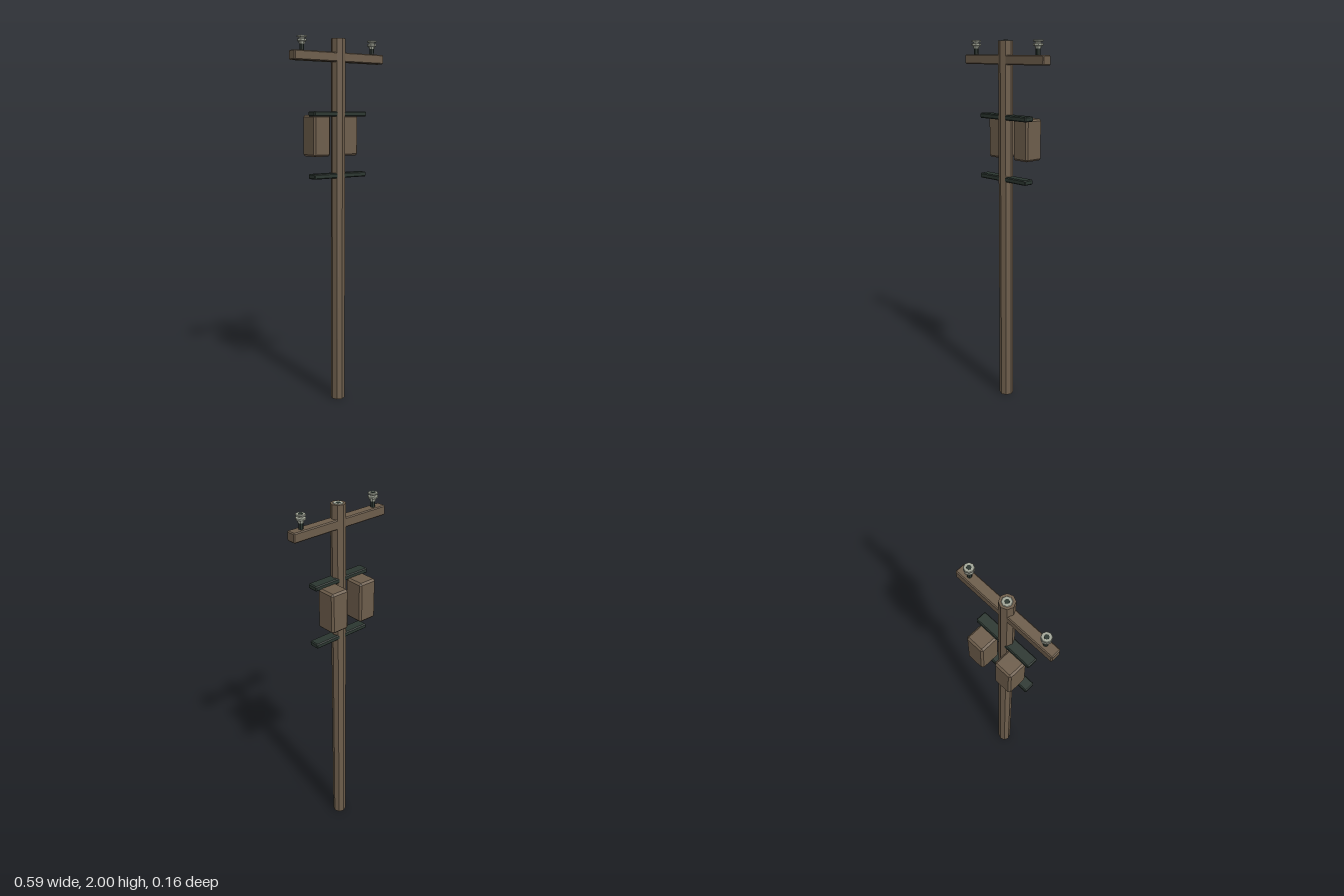
import * as THREE from 'three';
import { ConvexGeometry } from 'three/addons/geometries/ConvexGeometry.js';

const AXIS_Z = 0.042; // pole axis

// one hard normal per face
function faceted(geometry) {
  const g = geometry.toNonIndexed();
  g.computeVertexNormals();
  return g;
}

// box with every edge chamfered by c
function chamferBox(w, h, d, c) {
  const pts = [];
  for (const x of [-1, 1]) for (const y of [-1, 1]) for (const z of [-1, 1]) {
    const [a, b, e] = [w / 2, h / 2, d / 2];
    pts.push(
      new THREE.Vector3(x * a, y * (b - c), z * (e - c)),
      new THREE.Vector3(x * (a - c), y * b, z * (e - c)),
      new THREE.Vector3(x * (a - c), y * (b - c), z * e));
  }
  return new ConvexGeometry(pts);
}

export function createModel() {
  const wood = new THREE.MeshStandardMaterial({ color: 0x6d5d4b });
  wood.name = 'weathered wood';
  const iron = new THREE.MeshStandardMaterial({ color: 0x2b3630 });
  iron.name = 'dark iron';
  const porcelain = new THREE.MeshStandardMaterial({ color: 0xa3a799 });
  porcelain.name = 'grey porcelain';

  const model = new THREE.Group();
  model.name = 'utilityPole';
  function add(name, geometry, material, x, y, z, parent = model) {
    const mesh = new THREE.Mesh(geometry, material);
    mesh.name = name;
    mesh.position.set(x, y, z);
    parent.add(mesh);
    return mesh;
  }

  // octagonal pole
  add('pole', faceted(new THREE.CylinderGeometry(0.039, 0.039, 1.997, 8)), wood, 0, 0.9985, AXIS_Z);

  // top crossarm
  add('crossarm', chamferBox(0.588, 0.05, 0.055, 0.005), wood, 0, 1.9, 0.041);

  // iron brackets above and below the boxes
  const bar = chamferBox(0.348, 0.027, 0.06, 0.005);
  add('upperBracket', bar, iron, 0, 1.604, 0.041);
  add('lowerBracket', bar, iron, 0, 1.274, 0.041);

  // transformer boxes on the back
  const box = chamferBox(0.107, 0.221, 0.115, 0.01);
  add('leftTransformer', box, wood, 0.094, 1.487, -0.0255);
  add('rightTransformer', box, wood, -0.094, 1.487, -0.0255);

  // insulators: ribbed porcelain on an iron pin, one sunk in the pole top
  const profile = [
    [0, 0.036], [0.015, 0.036], [0.017, 0.048], [0.025, 0.051], [0.026, 0.061],
    [0.015, 0.064], [0.015, 0.069], [0.026, 0.071], [0.026, 0.077], [0.024, 0.079], [0, 0.079],
  ].map(([r, y]) => new THREE.Vector2(r, y));
  const ribs = faceted(new THREE.LatheGeometry(profile, 8));
  const pin = faceted(new THREE.CylinderGeometry(0.012, 0.012, 0.08, 8));
  for (const [side, x] of [['left', 0.231], ['middle', 0], ['right', -0.231]]) {
    const insulator = new THREE.Group();
    insulator.name = side + 'Insulator';
    insulator.position.set(x, 1.92, AXIS_Z - 0.001);
    add('insulatorPin', pin, iron, 0, 0.04, 0, insulator);
    add('insulatorRibs', ribs, porcelain, 0, 0, 0, insulator);
    model.add(insulator);
  }
  return model;
}
